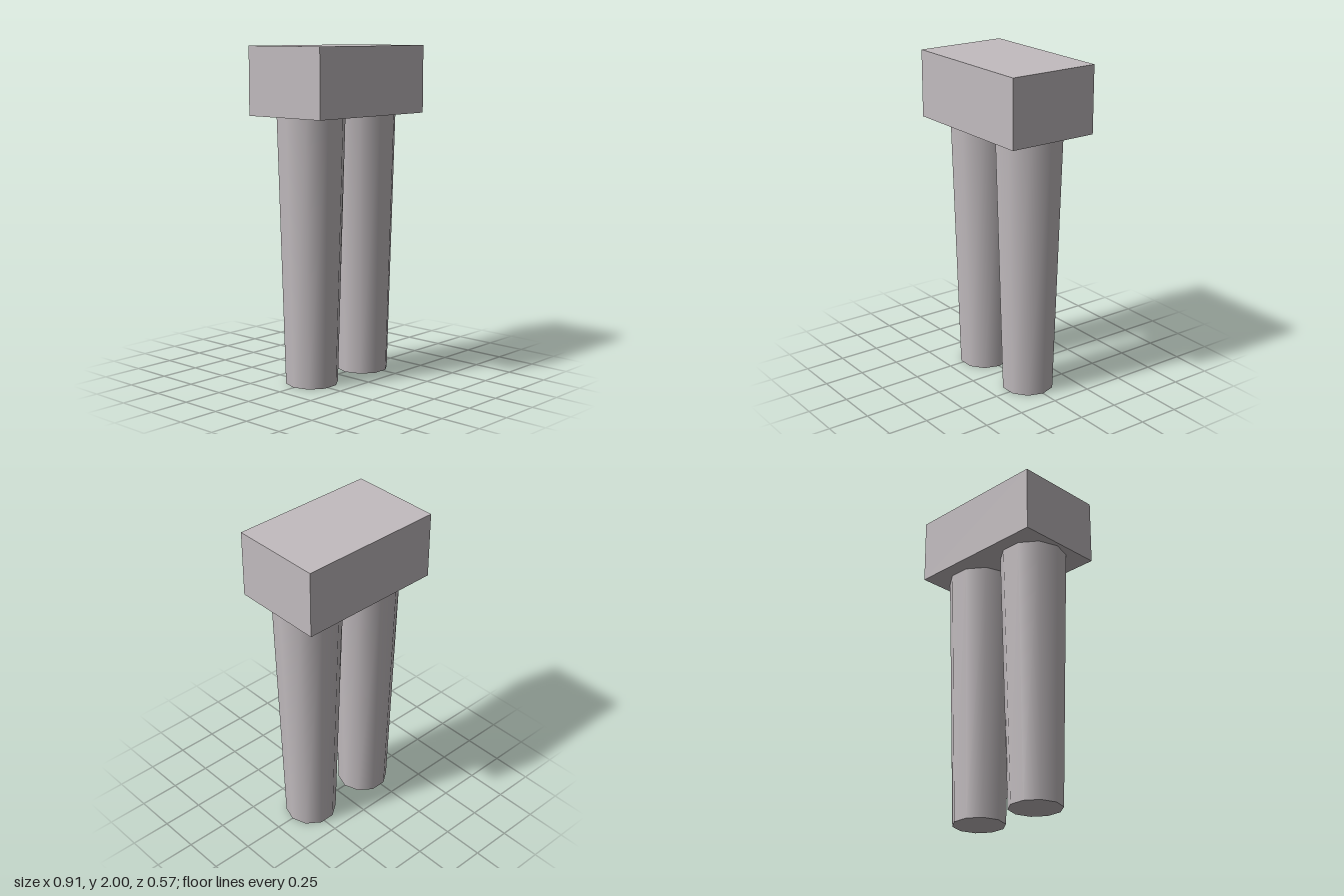
import * as THREE from 'three';

export function createModel() {
  const model = new THREE.Group();
  const warmGrey = new THREE.MeshStandardMaterial({ color: 0xc2bcbf });
  warmGrey.name = 'warmGrey';

  // Block resting across both legs
  const blockBottom = 1.595;
  const blockHeight = 2 - blockBottom;
  const block = new THREE.Mesh(new THREE.BoxGeometry(0.906, blockHeight, 0.566), warmGrey);
  block.name = 'topBlock';
  block.position.y = blockBottom + blockHeight / 2;
  model.add(block);

  // Pair of tapered ten-sided legs, with corners pointing along x
  const legGeometry = new THREE.CylinderGeometry(0.203, 0.158, blockBottom, 10, 1, false, Math.PI / 2);
  for (const [name, side] of [['leftLeg', 1], ['rightLeg', -1]]) {
    const leg = new THREE.Mesh(legGeometry, warmGrey);
    leg.name = name;
    leg.position.set(side * 0.227, blockBottom / 2, 0);
    model.add(leg);
  }

  return model;
}
